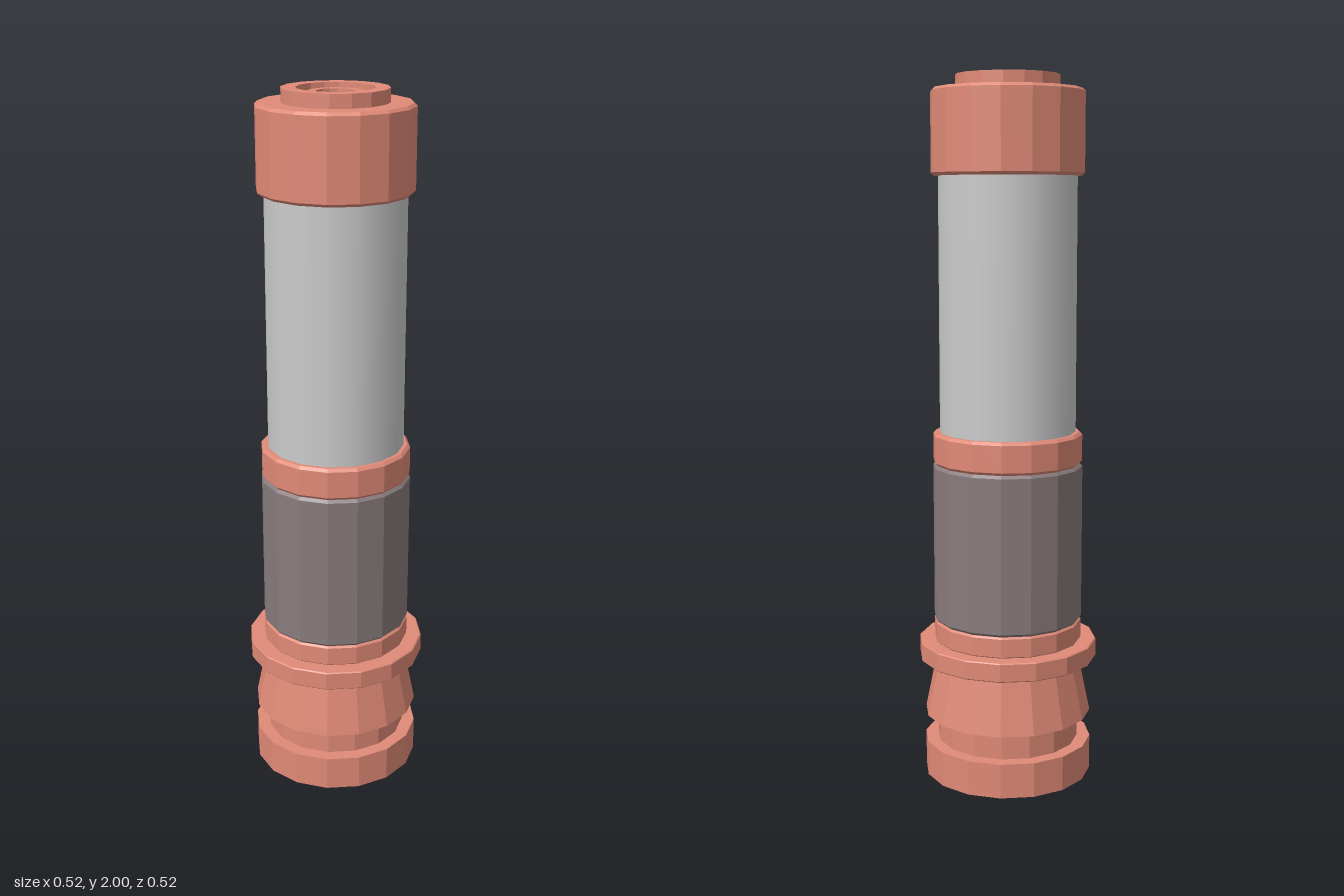
import * as THREE from 'three';

const SIDES = 16;
const copper = new THREE.MeshStandardMaterial({ color: 0xe08a77, flatShading: true });
const dark = new THREE.MeshStandardMaterial({ color: 0x897b7d, flatShading: true });
const grey = new THREE.MeshStandardMaterial({ color: 0xcccccc });

// Faceted turned part from [radius, y] pairs, listed bottom to top
function turned(name, profile, material) {
  const points = profile.map(([r, y]) => new THREE.Vector2(r, y));
  const mesh = new THREE.Mesh(new THREE.LatheGeometry(points, SIDES), material);
  mesh.name = name;
  return mesh;
}

// Solid drum with small chamfers
function drum(name, r, y0, y1, material, bevel = 0.008) {
  return turned(name, [
    [0, y0], [r - bevel, y0], [r, y0 + bevel],
    [r, y1 - bevel], [r - bevel, y1], [0, y1],
  ], material);
}

export function createModel() {
  const model = new THREE.Group();
  model.name = 'cylindricalHandle';

  // Base: foot, waist and flared skirt
  model.add(turned('base', [
    [0, 0], [0.243, 0], [0.243, 0.1], [0.205, 0.1], [0.205, 0.18],
    [0.242, 0.18], [0.208, 0.345], [0, 0.345],
  ], copper));

  // Flange and collar under the grip
  model.add(drum('flange', 0.258, 0.345, 0.4, copper, 0.003));
  model.add(drum('lowerCollar', 0.214, 0.398, 0.46, copper, 0.005));

  // Grip and the band above it
  model.add(drum('grip', 0.215, 0.46, 0.918, dark));
  model.add(drum('middleBand', 0.214, 0.918, 1.01, copper));

  // Smooth tube, its ends set into the neighbouring bands
  const tube = new THREE.Mesh(new THREE.CylinderGeometry(0.195, 0.195, 0.74, SIDES), grey);
  tube.name = 'tube';
  tube.position.y = 1.37;
  model.add(tube);

  // Cap, topped by a plug with concentric recesses
  model.add(drum('cap', 0.215, 1.727, 1.963, copper));
  model.add(turned('topPlug', [
    [0.145, 1.95], [0.145, 2], [0.105, 2], [0.105, 1.972], [0.075, 1.972],
    [0.075, 1.99], [0.052, 1.99], [0.052, 1.966], [0, 1.966],
  ], copper));

  return model;
}
